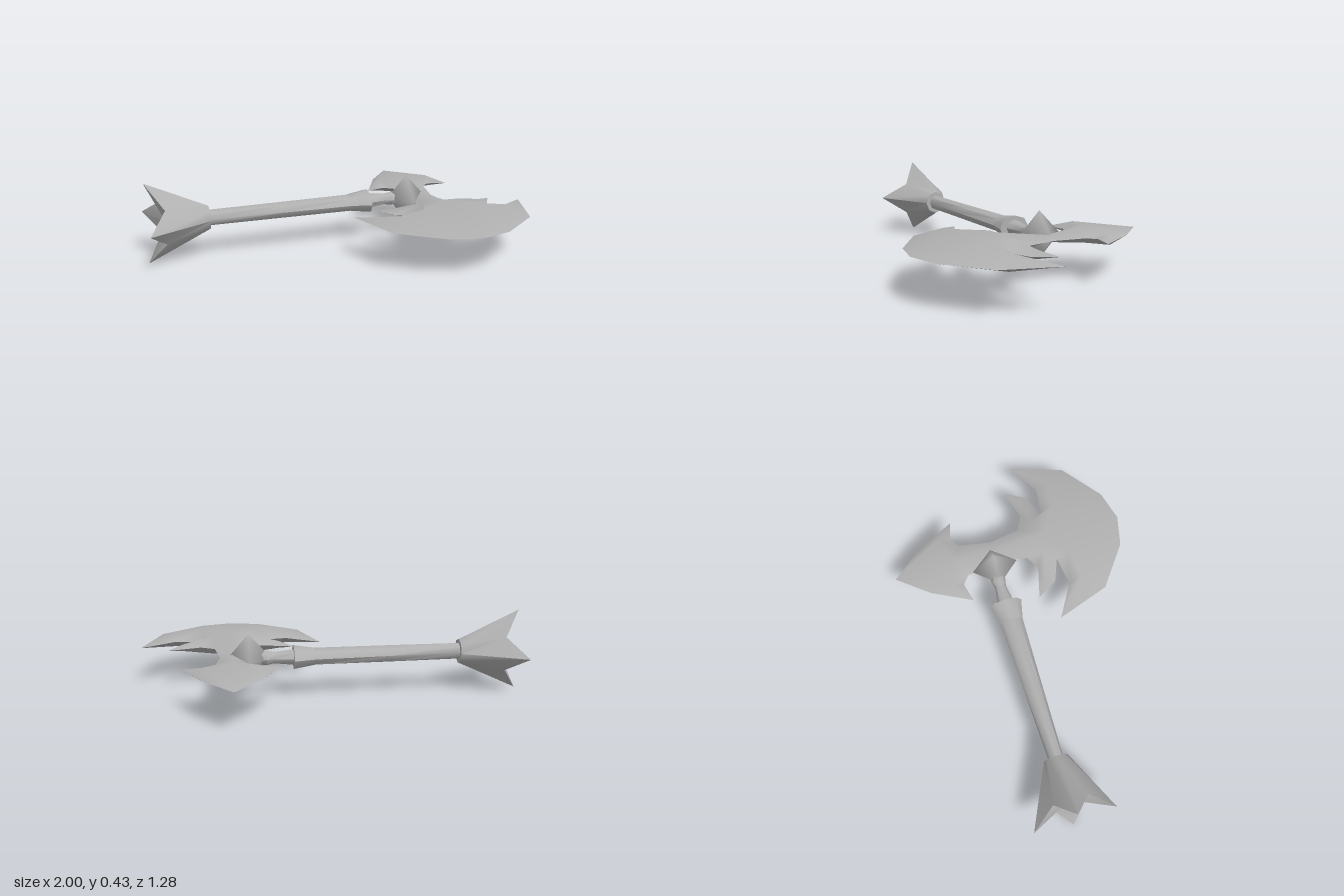
import * as THREE from 'three';
import { mergeVertices, toCreasedNormals } from 'three/addons/utils/BufferGeometryUtils.js';

const Y = 0.22, Z = -0.11, SIDES = 8;

function fromTriangles(tris) {
  const geo = new THREE.BufferGeometry();
  geo.setAttribute('position', new THREE.Float32BufferAttribute(tris.flat(2), 3));
  return geo;
}

// Ring of points around the shaft axis
function ring(x, ry, rz, z = Z) {
  return Array.from({ length: SIDES }, (_, j) => {
    const a = (j / SIDES) * Math.PI * 2;
    return [x, Y + ry * Math.cos(a), z + rz * Math.sin(a)];
  });
}

// Skin over rings running along +x, closed by a fan at either end
function loft(rings, startX, endX, crease = 0.8) {
  const tris = [];
  const first = rings[0], last = rings[rings.length - 1];
  for (let j = 0; j < SIDES; j++) {
    const k = (j + 1) % SIDES;
    for (let i = 0; i < rings.length - 1; i++) {
      const a = rings[i], b = rings[i + 1];
      tris.push([a[j], a[k], b[j]], [a[k], b[k], b[j]]);
    }
    tris.push([[startX, Y, Z], first[k], first[j]], [[endX, Y, Z], last[j], last[k]]);
  }
  return toCreasedNormals(fromTriangles(tris), crease);
}

// Half of the axe head: [distance from centre line, z, half thickness]
const HEAD = [
  [0, 0.64, 0], [0.165, 0.6, 0], [0.385, 0.435, 0], [0.483, 0.15, 0], [0.305, 0.255, 0],
  [0.145, 0.235, 0], [0.27, 0.185, 0], [0.335, 0.075, 0], [0.165, 0.12, 0], [0.09, 0.08, 0],
  [0.062, -0.09, 0], [0.095, -0.26, 0], [0.14, -0.297, 0], [0.245, -0.27, 0], [0.135, -0.48, 0],
  [0, -0.645, 0],
  // raised points
  [0, 0.2, 0.063], [0.15, 0.3, 0.06], [0.3, 0.32, 0.042], [0, -0.09, 0.018],
  [0, -0.31, 0.045], [0.1, 0.17, 0.05], [0.15, -0.36, 0.033], [0.25, 0.13, 0.02],
];
const HEAD_FACES = [
  '0 1 17', '0 17 16', '1 2 18', '1 18 17', '2 3 18', '3 4 18', '4 5 17', '4 17 18',
  '5 21 17', '21 16 17', '5 6 21', '6 7 23', '7 8 23', '8 21 23', '6 21 23', '8 9 21',
  '9 16 21', '9 19 16', '9 10 19', '10 11 19', '11 20 19', '11 22 20', '11 12 22',
  '12 13 22', '13 14 22', '14 15 22', '15 20 22',
].map((f) => f.split(' ').map(Number));

// One face of the head (up = 1 or -1), mirrored left and right, with smooth normals
function headSheet(up) {
  const tris = [];
  for (const side of [1, -1]) {
    for (const face of HEAD_FACES) {
      const [a, b, c] = face.map((i) => {
        const [u, z, h] = HEAD[i];
        return [0.515 + side * u, Y + 0.004 + up * h, z];
      });
      const ny = (b[2] - a[2]) * (c[0] - a[0]) - (b[0] - a[0]) * (c[2] - a[2]);
      tris.push(ny * up > 0 ? [a, b, c] : [a, c, b]);
    }
  }
  const geo = mergeVertices(fromTriangles(tris));
  geo.computeVertexNormals();
  return geo;
}

export function createModel() {
  const model = new THREE.Group();
  model.name = 'battleAxe';
  const steel = new THREE.MeshStandardMaterial({ color: 0xb0b0b0 });
  steel.name = 'greySteel';

  const add = (name, geo, parent = model) => {
    const mesh = new THREE.Mesh(geo, steel);
    mesh.name = name;
    parent.add(mesh);
    return mesh;
  };

  // Four-pointed flared pommel with notches between the points
  const star = ring(-1, 0.215, 0.215).map((p, j) => {
    if (j % 2 === 0) return p;
    const s = 0.59;
    return [-0.91, Y + (p[1] - Y) * s, Z + (p[2] - Z) * s];
  });
  add('pommel', loft([star, ring(-0.68, 0.065, 0.063)], -0.9, -0.68, 0.9));

  // Tapered shaft
  add('shaft', loft([
    ring(-0.7, 0.043, 0.038), ring(-0.3, 0.045, 0.05), ring(0.12, 0.046, 0.063),
  ], -0.7, 0.12));

  // Flared collar at the top of the shaft
  add('collar', loft([ring(0.09, 0.046, 0.062), ring(0.2, 0.064, 0.087)], 0.09, 0.2));

  // Short neck into the gem
  add('neck', loft([
    ring(0.18, 0.045, 0.05), ring(0.3, 0.03, 0.03), ring(0.34, 0.038, 0.04), ring(0.4, 0.03, 0.03),
  ], 0.18, 0.4));

  // Pointed gem with soft shading
  let gem = new THREE.OctahedronGeometry(1, 0);
  gem.deleteAttribute('normal');
  gem.deleteAttribute('uv');
  gem = mergeVertices(gem);
  gem.scale(0.11, 0.125, 0.125);
  gem.computeVertexNormals();
  add('gem', gem).position.set(0.43, Y + 0.004, -0.105);

  // Broad front blade, waist and rear point
  const head = new THREE.Group();
  head.name = 'axeHead';
  add('upperHeadFace', headSheet(1), head);
  add('lowerHeadFace', headSheet(-1), head);
  model.add(head);

  return model;
}
